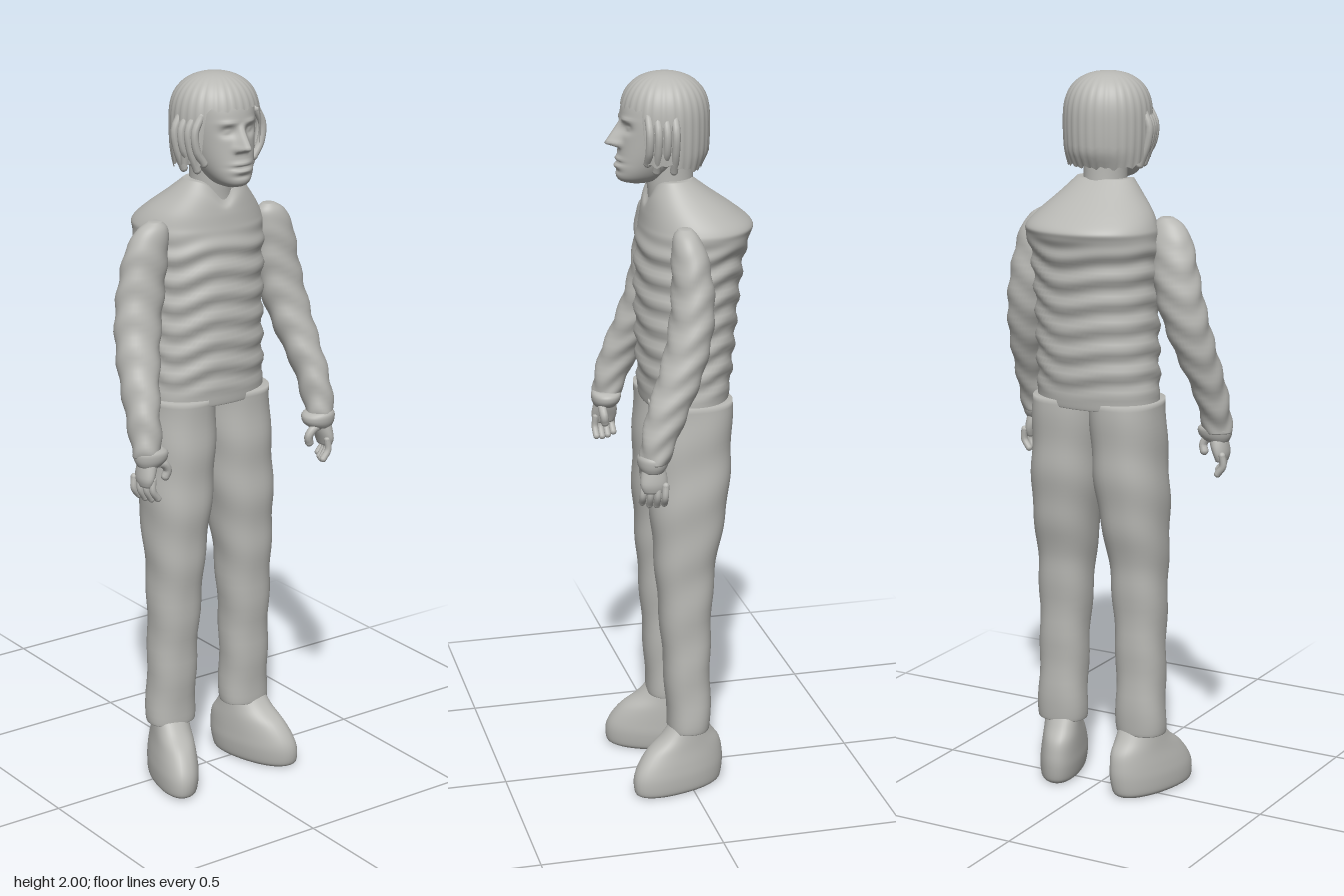
import * as THREE from 'three';

const grey = new THREE.MeshStandardMaterial({ color: 0xb8b8b4 });
grey.name = 'plain grey';
const greyOpen = new THREE.MeshStandardMaterial({ color: 0xb8b8b4, side: THREE.DoubleSide });
greyOpen.name = 'plain grey';

const bump = (d, w) => Math.exp(-(d * d) / (w * w));
const step = THREE.MathUtils.smoothstep;

// Closed ring surface: fn(t, angle) gives a point, t rises from bottom to top
function ringSurface(name, rows, segs, fn, caps = true) {
  const pos = [], index = [];
  for (let i = 0; i <= rows; i++)
    for (let j = 0; j < segs; j++) pos.push(...fn(i / rows, (j / segs) * Math.PI * 2));
  for (let i = 0; i < rows; i++)
    for (let j = 0; j < segs; j++) {
      const a = i * segs + j, b = i * segs + (j + 1) % segs;
      index.push(a, a + segs, b, b, a + segs, b + segs);
    }
  if (caps)
    for (const row of [0, rows]) {
      const c = pos.length / 3, mid = [0, 0, 0];
      for (let j = 0; j < segs; j++)
        for (let k = 0; k < 3; k++) mid[k] += pos[(row * segs + j) * 3 + k] / segs;
      pos.push(...mid);
      for (let j = 0; j < segs; j++) {
        const a = row * segs + j, b = row * segs + (j + 1) % segs;
        if (row) index.push(c, b, a); else index.push(c, a, b);
      }
    }
  const g = new THREE.BufferGeometry();
  g.setAttribute('position', new THREE.Float32BufferAttribute(pos, 3));
  g.setIndex(index);
  g.computeVertexNormals();
  const m = new THREE.Mesh(g, caps ? grey : greyOpen);
  m.name = name;
  return m;
}

// Loft through rows of [y, centre x, half width, back z, front z]
function loft(name, rows, { side = 1, power = 2, steps = 6, segs = 40, warp = p => p } = {}) {
  const n = rows.length - 1;
  const at = (t, k) => {
    const f = Math.min(t * n, n - 1e-6), i = Math.floor(f), u = f - i;
    const a = rows[Math.max(i - 1, 0)][k], b = rows[i][k], c = rows[i + 1][k], d = rows[Math.min(i + 2, n)][k];
    return b + 0.5 * u * (c - a + u * (2 * a - 5 * b + 4 * c - d + u * (3 * (b - c) + d - a)));
  };
  const round = v => Math.sign(v) * Math.abs(v) ** (2 / power);
  return ringSurface(name, n * steps, segs, (t, a) => {
    const z0 = at(t, 3), z1 = at(t, 4);
    return warp([at(t, 1) * side + at(t, 2) * round(Math.cos(a)), at(t, 0),
      (z0 + z1) / 2 + (z1 - z0) / 2 * round(Math.sin(a))], a, t);
  });
}

// Rounded finger or lock along a few points
function finger(name, points, r) {
  const curve = new THREE.CatmullRomCurve3(points.map(p => new THREE.Vector3(...p)));
  const group = new THREE.Group();
  group.name = name;
  group.add(new THREE.Mesh(new THREE.TubeGeometry(curve, 10, r, 10), grey));
  for (const t of [0, 1]) {
    const tip = new THREE.Mesh(new THREE.SphereGeometry(r, 10, 8), grey);
    tip.position.copy(curve.getPoint(t));
    group.add(tip);
  }
  return group;
}

function makeHead() {
  const head = new THREE.Group();
  head.name = 'head';
  // Face with nose, eyes, brow and lips pushed out of the surface
  head.add(loft('face', [
    [1.708, 0, 0.015, 0.08, 0.13], [1.718, 0, 0.038, 0.05, 0.16], [1.74, 0, 0.056, 0.02, 0.168],
    [1.78, 0, 0.073, -0.02, 0.163], [1.83, 0, 0.083, -0.04, 0.158], [1.88, 0, 0.088, -0.055, 0.156],
    [1.93, 0, 0.086, -0.05, 0.145], [1.965, 0, 0.07, -0.03, 0.11], [1.98, 0, 0.02, 0.02, 0.06],
  ], {
    segs: 120, steps: 10, power: 2.2, warp: ([x, y, z], a) => {
      if (Math.sin(a) < 0.2) return [x, y, z];
      const ax = Math.abs(x), slope = THREE.MathUtils.clamp((1.88 - y) / 0.06, 0, 1);
      z += 0.04 * slope * step(y, 1.802, 1.818) * bump(x, 0.008 + 0.009 * slope);
      z += 0.006 * bump(ax - 0.017, 0.007) * bump(y - 1.813, 0.008);
      z -= 0.014 * bump(ax - 0.034, 0.019) * bump(y - 1.86, 0.013);
      z += 0.007 * bump(ax - 0.035, 0.011) * bump(y - 1.86, 0.006);
      z += 0.005 * bump(ax - 0.036, 0.022) * bump(y - 1.883, 0.006);
      z += bump(x, 0.027) * (0.007 * bump(y - 1.776, 0.006) + 0.007 * bump(y - 1.757, 0.006)
        - 0.006 * bump(y - 1.767, 0.003) - 0.004 * bump(y - 1.743, 0.006));
      return [x, y, z];
    },
  }));
  head.add(loft('neck', [
    [1.58, 0, 0.075, -0.07, 0.085], [1.66, 0, 0.062, -0.045, 0.08],
    [1.72, 0, 0.058, -0.04, 0.085], [1.8, 0, 0.06, -0.04, 0.09],
  ]));

  // Hair shell: high jagged fringe, long sides and nape
  head.add(ringSurface('hair', 26, 120, (t, a) => {
    const s = Math.sin(a), c = Math.cos(a), jag = 0.5 + 0.5 * Math.sin(a * 19) * Math.cos(a * 7);
    const rim = s > 0 ? 1.765 + 0.145 * step(s, 0.58, 0.72) : 1.765 - 0.02 * Math.min(1, -2 * s);
    const y = THREE.MathUtils.lerp(rim + 0.012 * jag, 2, 1 - (1 - t) ** 1.6);
    const h = Math.max(0, (y - 1.86) / 0.14);
    let k = h > 0 ? Math.max(0, 1 - h ** 3) ** 0.45 : 1 - 6 * (1.86 - y) ** 2;
    if (s < 0) k -= 1.1 * s * s * Math.max(0, 1.79 - y) * 3;
    k *= 1 + 0.012 * Math.sin(a * 30) * Math.min(1, (1 - t) * 3);
    return [0.12 * k * c, y, 0.036 + 0.119 * k * s];
  }, false));
  // Loose locks beside the ears
  for (const s of [-1, 1])
    for (let i = 0; i < 4; i++) {
      const z = 0.035 + i * 0.022, x = 0.118 - i * 0.006;
      head.add(finger('sideLock', [[s * (x - 0.012), 1.9, z], [s * (x + 0.008), 1.86, z],
        [s * (x + 0.002), 1.81, z], [s * (x - 0.02), 1.755 + (i % 2) * 0.02, z]], 0.011));
    }
  return head;
}

function makeArm(s) {
  const arm = new THREE.Group();
  arm.name = s > 0 ? 'leftArm' : 'rightArm';
  arm.add(loft('sleeve', [
    [1.025, 0.288, 0.038, 0.098, 0.172], [1.06, 0.287, 0.041, 0.085, 0.173], [1.15, 0.28, 0.045, 0.045, 0.155],
    [1.25, 0.262, 0.056, 0.0, 0.118], [1.35, 0.242, 0.064, -0.03, 0.087], [1.45, 0.222, 0.066, -0.04, 0.072],
    [1.55, 0.205, 0.06, -0.028, 0.067], [1.6, 0.192, 0.044, -0.008, 0.06], [1.622, 0.185, 0.018, 0.01, 0.045],
  ], {
    side: s, warp: ([x, y, z], a) => {
      const w = 0.003 * Math.sin(y * 75 + Math.sin(a * 2) * 2) * step(1.6 - y, 0, 0.1);
      return [x + w * Math.cos(a), y, z + w * Math.sin(a)];
    },
  }));
  // Hand with cuff, palm, fingers and thumb
  const hand = new THREE.Group();
  hand.name = 'hand';
  hand.add(loft('cuff', [
    [1.0, 0.284, 0.034, 0.11, 0.17], [1.015, 0.279, 0.046, 0.1, 0.178],
    [1.035, 0.279, 0.048, 0.095, 0.18], [1.045, 0.285, 0.036, 0.1, 0.174],
  ], { side: s, steps: 3 }));
  hand.add(loft('palm', [
    [0.945, 0.3, 0.014, 0.112, 0.168], [0.965, 0.299, 0.02, 0.104, 0.176],
    [0.99, 0.293, 0.024, 0.104, 0.174], [1.02, 0.286, 0.026, 0.112, 0.168],
  ], { side: s, steps: 3, segs: 24 }));
  for (let i = 0; i < 4; i++) {
    const x = 0.314 - i * 0.008, z = 0.112 + i * 0.018, low = 0.912 - 0.006 * Math.sin(i);
    hand.add(finger('finger', [[s * x, 0.965, z], [s * (x + 0.002), 0.935, z + 0.002],
      [s * (x - 0.014), low, z + 0.001]], 0.0095));
  }
  hand.add(finger('thumb', [[s * 0.285, 1.005, 0.15], [s * 0.25, 1.0, 0.155],
    [s * 0.235, 0.98, 0.153], [s * 0.24, 0.962, 0.15]], 0.012));
  arm.add(hand);
  return arm;
}

function makeLeg(s) {
  const leg = new THREE.Group();
  leg.name = s > 0 ? 'leftLeg' : 'rightLeg';
  leg.add(loft('trouserLeg', [
    [0.175, 0.126, 0.066, -0.052, 0.056], [0.2, 0.126, 0.07, -0.058, 0.061], [0.4, 0.122, 0.068, -0.058, 0.073],
    [0.6, 0.116, 0.075, -0.068, 0.088], [0.7, 0.112, 0.081, -0.082, 0.095], [0.8, 0.106, 0.091, -0.103, 0.102],
    [0.9, 0.099, 0.096, -0.116, 0.103], [1.0, 0.093, 0.096, -0.122, 0.103], [1.125, 0.088, 0.096, -0.126, 0.1],
  ], {
    side: s, power: 2.3, warp: ([x, y, z], a) => {
      const w = 0.002 * Math.sin(y * 38 + 2 * Math.sin(a));
      return [x + w * Math.cos(a), y, z + w * Math.sin(a)];
    },
  }));
  // Shoe turned slightly outward
  leg.add(loft('shoe', [
    [0, 0.134, 0.05, -0.08, 0.15], [0.012, 0.134, 0.06, -0.093, 0.167], [0.05, 0.132, 0.064, -0.1, 0.17],
    [0.085, 0.13, 0.062, -0.1, 0.158], [0.125, 0.127, 0.058, -0.092, 0.128],
    [0.16, 0.126, 0.055, -0.068, 0.083], [0.2, 0.125, 0.052, -0.045, 0.048],
  ], { side: s, power: 2.2, warp: ([x, y, z]) => [x + s * 0.27 * z, y, z] }));
  return leg;
}

export function createModel() {
  const model = new THREE.Group();
  model.name = 'standingFigure';
  // Quilted vest with a sloping shoulder yoke and a dipped neckline
  model.add(loft('vest', [
    [1.108, 0, 0.17, -0.126, 0.098], [1.12, 0, 0.176, -0.132, 0.104], [1.25, 0, 0.173, -0.146, 0.11],
    [1.4, 0, 0.173, -0.16, 0.113], [1.52, 0, 0.179, -0.176, 0.11], [1.575, 0.002, 0.184, -0.192, 0.104],
    [1.6, 0.002, 0.18, -0.194, 0.1], [1.635, 0, 0.157, -0.152, 0.096], [1.68, 0, 0.115, -0.088, 0.09],
    [1.72, 0, 0.08, -0.034, 0.078],
  ], {
    segs: 72, steps: 10, power: 2.15, warp: ([x, y, z], a) => {
      const fade = step(y, 1.13, 1.18) * (1 - step(y, 1.52, 1.6));
      const w = 0.005 * fade * Math.sin(y * 95 + 1.2 * Math.sin(a * 3) + 0.6 * Math.cos(a * 5));
      const dip = 0.05 * step(y, 1.62, 1.72) * bump(x, 0.04) * step(z, 0, 0.07);
      return [x + w * Math.cos(a), y - dip, z + w * Math.sin(a)];
    },
  }));
  model.add(makeHead());
  for (const s of [1, -1]) model.add(makeArm(s), makeLeg(s));
  return model;
}
